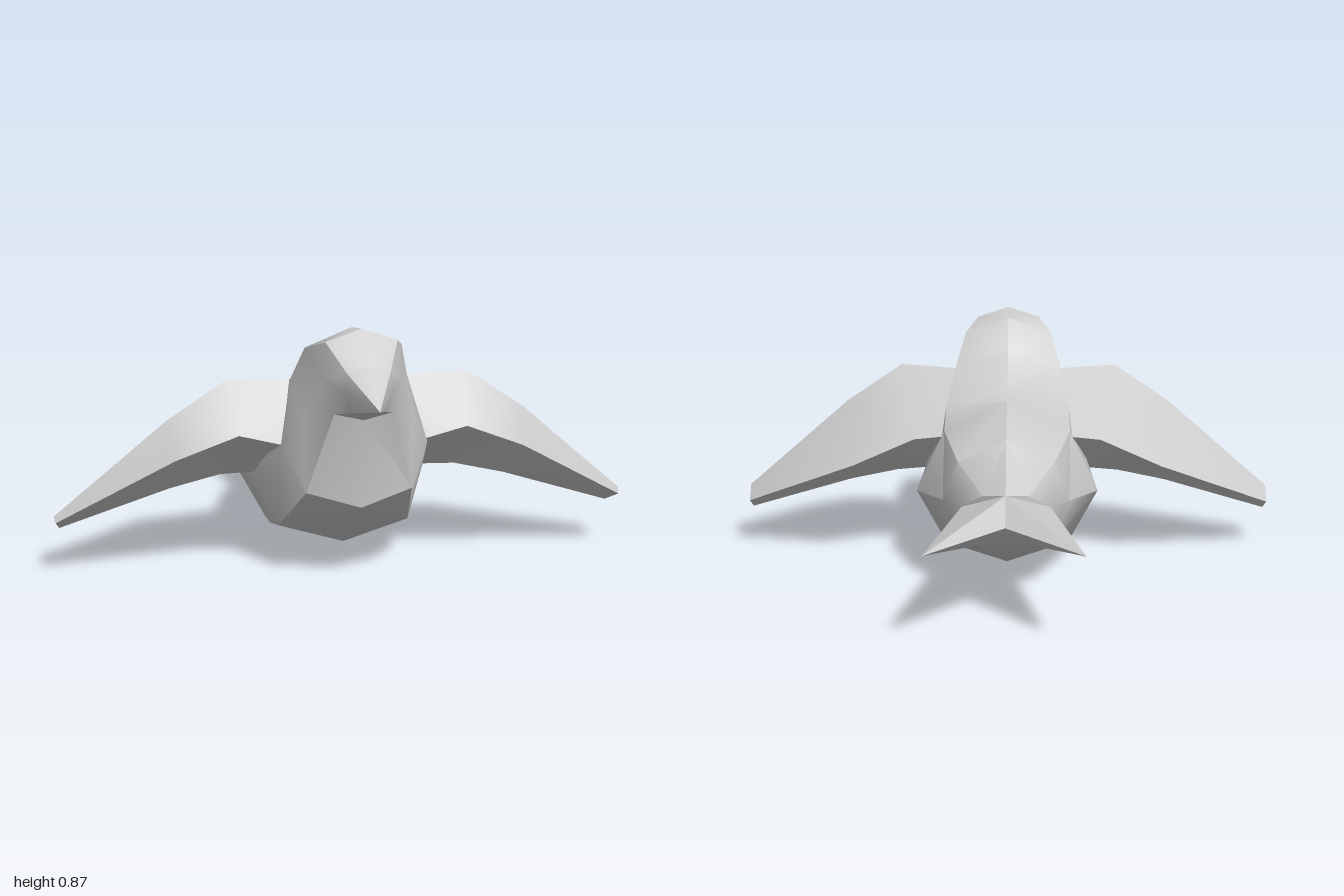
import * as THREE from 'three';
import { toCreasedNormals } from 'three/addons/utils/BufferGeometryUtils.js';

const material = new THREE.MeshStandardMaterial({ color: 0xcccccc });
const V = (p) => new THREE.Vector3(...p);
const mirrored = ([x, y, z]) => [-x, y, z];

// Closed triangle list -> creased geometry, wound so that its volume is positive
function solid(tris) {
  const volume = tris.reduce((s, [a, b, c]) => s + V(a).dot(V(b).cross(V(c))), 0);
  const wound = volume < 0 ? tris.map(([a, b, c]) => [a, c, b]) : tris;
  const g = new THREE.BufferGeometry();
  g.setAttribute('position', new THREE.Float32BufferAttribute(wound.flat(2), 3));
  return toCreasedNormals(g, 0.72);
}

// Skin between rings of equal length, closed by fans to a start and an end point
function loft(rings, start, end) {
  const tris = [];
  const n = rings[0].length;
  for (let j = 0; j < n; j++) {
    const k = (j + 1) % n;
    for (let i = 0; i < rings.length - 1; i++) {
      const a = rings[i][j], b = rings[i][k], c = rings[i + 1][k], d = rings[i + 1][j];
      if (V(a).distanceTo(V(c)) < V(b).distanceTo(V(d))) tris.push([a, b, c], [a, c, d]);
      else tris.push([a, b, d], [b, c, d]);
    }
    const last = rings[rings.length - 1];
    tris.push([start, rings[0][k], rings[0][j]], [end, last[j], last[k]]);
  }
  return tris;
}

// Half outline from top centre to bottom centre -> full ring
const fullRing = (h) => [...h, ...h.slice(1, -1).reverse().map(mirrored)];

export function createModel() {
  const group = new THREE.Group();
  const add = (name, tris) => {
    const mesh = new THREE.Mesh(solid(tris), material);
    mesh.name = name;
    group.add(mesh);
  };
  const addPair = (name, tris) => {
    add('left' + name, tris);
    add('right' + name, tris.map((t) => t.map(mirrored)));
  };

  // Half cross-sections from face to rump: top, shoulder, side, chine, keel
  const body = [
    [[0, 0.77, 0.77], [0.07, 0.745, 0.765], [0.085, 0.69, 0.76], [0.06, 0.615, 0.755], [0, 0.595, 0.75]],
    [[0, 0.87, 0.645], [0.12, 0.83, 0.65], [0.13, 0.71, 0.68], [0.1, 0.6, 0.695], [0, 0.575, 0.69]],
    [[0, 0.85, 0.5], [0.165, 0.79, 0.52], [0.19, 0.55, 0.59], [0.18, 0.32, 0.625], [0, 0.27, 0.66]],
    [[0, 0.74, 0.415], [0.2, 0.675, 0.45], [0.25, 0.46, 0.55], [0.23, 0.135, 0.36], [0, 0.065, 0.36]],
    [[0, 0.615, 0.235], [0.23, 0.56, 0.24], [0.32, 0.3, 0.22], [0.235, 0.1, 0.2], [0, 0.032, 0.2]],
    [[0, 0.62, 0.04], [0.23, 0.51, 0.04], [0.335, 0.28, 0.06], [0.23, 0.085, 0.065], [0, 0.003, 0.065]],
    [[0, 0.545, -0.26], [0.17, 0.47, -0.26], [0.225, 0.325, -0.24], [0.15, 0.15, -0.24], [0, 0.125, -0.24]],
    [[0, 0.4, -0.45], [0.08, 0.385, -0.4], [0.155, 0.33, -0.34], [0.08, 0.255, -0.4], [0, 0.245, -0.46]],
  ].map(fullRing);
  add('body', loft(body, [0, 0.68, 0.75], [0, 0.33, -0.44]));

  // Beak continues the face ring to a point
  add('beak', loft([body[0]], [0, 0.655, 0.93], [0, 0.68, 0.74]));

  // Wing sections from root to tip: leading edge, top crease, trailing edge, underside
  const wing = [
    [[0.15, 0.44, 0.53], [0.1, 0.66, 0.43], [0.2, 0.49, 0.05], [0.15, 0.32, 0.3]],
    [[0.39, 0.505, 0.545], [0.41, 0.68, 0.44], [0.345, 0.47, 0.072], [0.42, 0.305, 0.27]],
    [[0.6, 0.42, 0.51], [0.62, 0.54, 0.43], [0.57, 0.375, 0.05], [0.6, 0.265, 0.28]],
    [[0.995, 0.195, 0.395], [1, 0.215, 0.38], [0.99, 0.18, 0.27], [0.98, 0.15, 0.3]],
  ];
  addPair('Wing', loft(wing, [0.15, 0.48, 0.33], [0.995, 0.185, 0.335]));

  // Each tail prong is a pyramid from the rump, meeting its twin at the notch
  const prong = [[0, 0.4, -0.45], [0.155, 0.33, -0.34], [0, 0.245, -0.46], [0, 0.335, -0.62]];
  addPair('TailProng', loft([prong], [0.26, 0.335, -0.93], [0, 0.33, -0.45]));

  return group;
}
